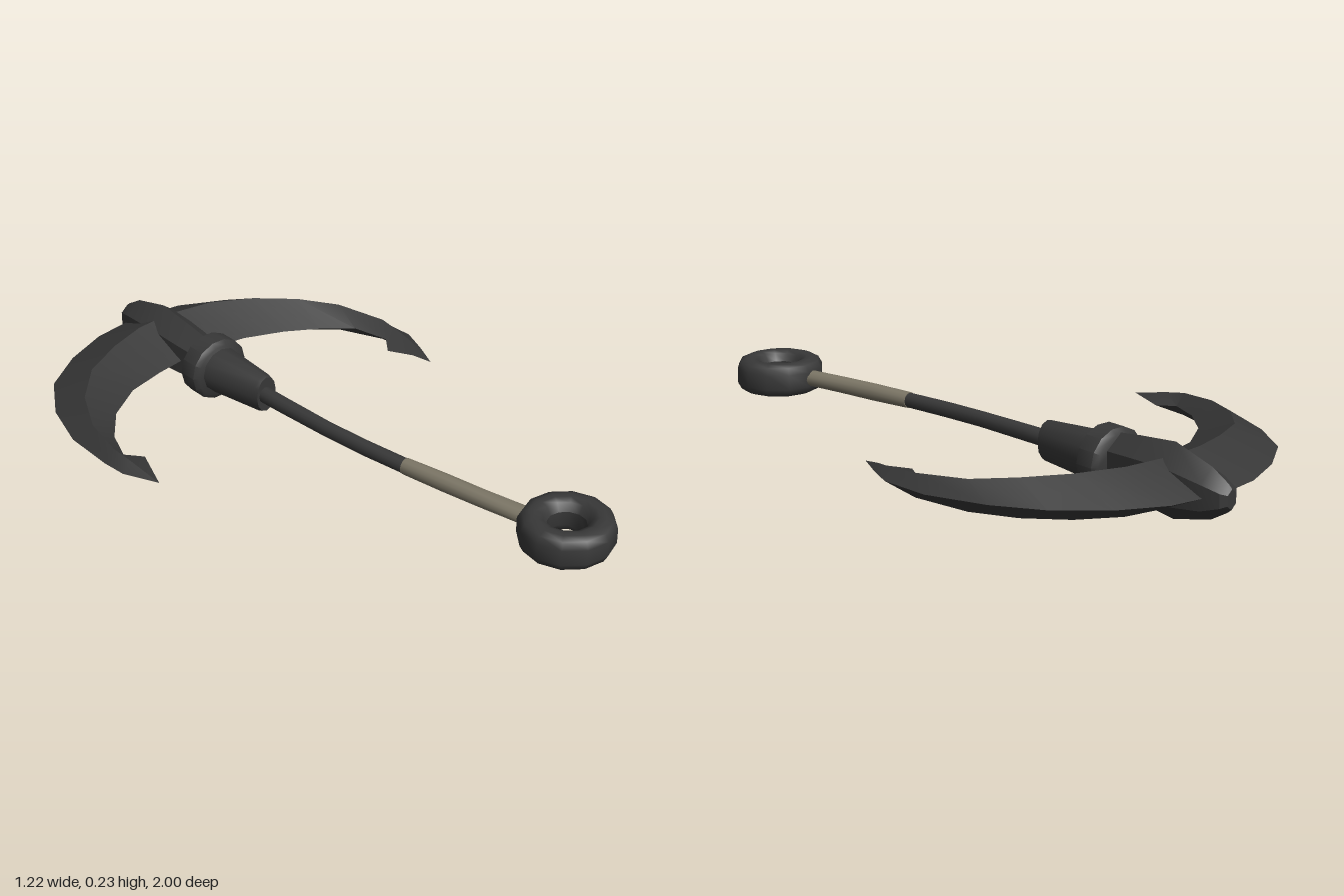
import * as THREE from 'three';
import { toCreasedNormals } from 'three/addons/utils/BufferGeometryUtils.js';

const MID = 0.117; // height of the horizontal symmetry plane

// Skin a list of equal-sized rings of [x, y, z] points, capping both ends.
function loft(rings, crease) {
  const n = rings[0].length;
  const tris = [];
  for (let r = 0; r < rings.length - 1; r++) {
    for (let i = 0; i < n; i++) {
      const j = (i + 1) % n;
      const a = rings[r][i], b = rings[r][j], c = rings[r + 1][j], d = rings[r + 1][i];
      tris.push([a, b, c], [a, c, d]);
    }
  }
  const first = rings[0], last = rings[rings.length - 1];
  for (let i = 1; i < n - 1; i++) {
    tris.push([first[0], first[i + 1], first[i]], [last[0], last[i], last[i + 1]]);
  }
  // Drop collapsed triangles and make the skin face outwards
  const V = (p) => new THREE.Vector3(...p);
  const solid = tris.filter(([a, b, c]) => V(b).sub(V(a)).cross(V(c).sub(V(a))).length() > 1e-9);
  const volume = solid.reduce((s, [a, b, c]) => s + V(a).dot(V(b).cross(V(c))), 0);
  const out = solid.flatMap(([a, b, c]) => (volume < 0 ? [a, c, b] : [a, b, c])).flat();
  const g = new THREE.BufferGeometry();
  g.setAttribute('position', new THREE.Float32BufferAttribute(out, 3));
  return toCreasedNormals(g, crease);
}

// Rings of n points along stations [x, z, halfWidth, halfHeight], lying across the z axis.
function roundRod(stations, n = 12) {
  return loft(stations.map(([x, z, w, h]) => {
    return Array.from({ length: n }, (_, i) => {
      const a = (i / n) * Math.PI * 2;
      return [x + w * Math.cos(a), h * Math.sin(a), z];
    });
  }), 0.9);
}

export function createModel() {
  const group = new THREE.Group();
  const iron = new THREE.MeshStandardMaterial({ color: 0x383838 });
  iron.name = 'dark iron';
  const wrap = new THREE.MeshStandardMaterial({ color: 0x7c7666 });
  wrap.name = 'grey tan grip';
  const add = (name, geometry, material = iron) => {
    const mesh = new THREE.Mesh(geometry, material);
    mesh.name = name;
    mesh.position.y = MID;
    group.add(mesh);
    return mesh;
  };

  // Crescent blade: outer x, z, inner x, z, half thickness, ridge position
  const blade = [
    [-0.57, -0.165, -0.57, -0.165, 0, 0.5],
    [-0.608, -0.28, -0.5, -0.3, 0.025, 0.35],
    [-0.605, -0.36, -0.535, -0.355, 0.036, 0.5],
    [-0.58, -0.53, -0.485, -0.45, 0.046, 0.5],
    [-0.51, -0.69, -0.39, -0.545, 0.056, 0.5],
    [-0.4, -0.825, -0.26, -0.61, 0.064, 0.5],
    [-0.25, -0.905, -0.125, -0.628, 0.071, 0.5],
    [-0.095, -0.95, -0.02, -0.632, 0.075, 0.5],
    [0.06, -0.955, 0.08, -0.622, 0.075, 0.5],
    [0.23, -0.91, 0.215, -0.587, 0.072, 0.5],
    [0.365, -0.82, 0.335, -0.52, 0.066, 0.5],
    [0.48, -0.69, 0.43, -0.445, 0.058, 0.5],
    [0.555, -0.545, 0.51, -0.36, 0.047, 0.5],
    [0.608, -0.36, 0.525, -0.215, 0.036, 0.5],
    [0.598, -0.2, 0.468, -0.18, 0.025, 0.35],
    [0.555, -0.115, 0.5, -0.1, 0.016, 0.45],
    [0.505, -0.03, 0.505, -0.03, 0, 0.5],
  ];
  add('crescentBlade', loft(blade.map(([ox, oz, ix, iz, h, t]) => {
    const rx = ox + (ix - ox) * t, rz = oz + (iz - oz) * t;
    return [[ox, 0, oz], [rx, h, rz], [ix, 0, iz], [rx, -h, rz]];
  }), 0.6));

  // Faceted head running through the middle of the blade: x, z, half width, half height
  const head = [
    [0.02, -0.53, 0.052, 0.082],
    [0.035, -0.65, 0.062, 0.098],
    [0.054, -0.79, 0.07, 0.113],
    [0.074, -0.93, 0.056, 0.075],
    [0.078, -0.985, 0.038, 0.042],
    [0.08, -1.0, 0.02, 0.03],
  ];
  add('headSpine', loft(head.map(([x, z, w, h]) => [
    [x, h, z], [x + w, h * 0.5, z], [x + w, -h * 0.5, z],
    [x, -h, z], [x - w, -h * 0.5, z], [x - w, h * 0.5, z],
  ]), 0.5));

  // Tapered socket and its bevelled collar
  add('socket', roundRod([
    [0.005, -0.283, 0.042, 0.06],
    [0.006, -0.295, 0.046, 0.064],
    [0.024, -0.53, 0.08, 0.078],
  ]));
  const collar = add('collar', roundRod([
    [0, 0.042, 0.09, 0.086],
    [0, 0.03, 0.105, 0.102],
    [0, -0.03, 0.105, 0.102],
    [0, -0.042, 0.09, 0.086],
  ], 14));
  collar.position.set(0.022, MID, -0.535);
  collar.rotation.y = -0.12;

  // Bent shaft and the wrapped grip
  add('shaft', roundRod([
    [0.002, -0.32, 0.026, 0.027],
    [-0.008, -0.2, 0.025, 0.026],
    [-0.022, 0, 0.022, 0.025],
    [-0.025, 0.15, 0.022, 0.025],
    [-0.021, 0.31, 0.023, 0.024],
  ]));
  add('grip', roundRod([
    [-0.021, 0.308, 0.025, 0.026],
    [-0.012, 0.45, 0.027, 0.028],
    [-0.004, 0.58, 0.028, 0.027],
    [0.012, 0.76, 0.033, 0.025],
  ]), wrap);

  // Pommel ring with a rounded, upright section
  const section = [
    [0.058, 0.022], [0.072, 0.046], [0.09, 0.054], [0.11, 0.054], [0.13, 0.046],
    [0.142, 0.024], [0.142, -0.024], [0.13, -0.046], [0.11, -0.054], [0.09, -0.054],
    [0.072, -0.046], [0.058, -0.022], [0.058, 0.022],
  ].map(([r, y]) => new THREE.Vector2(r, y)).reverse();
  const ring = add('pommelRing', new THREE.LatheGeometry(section, 12));
  ring.position.set(0.03, MID, 0.858);

  return group;
}
